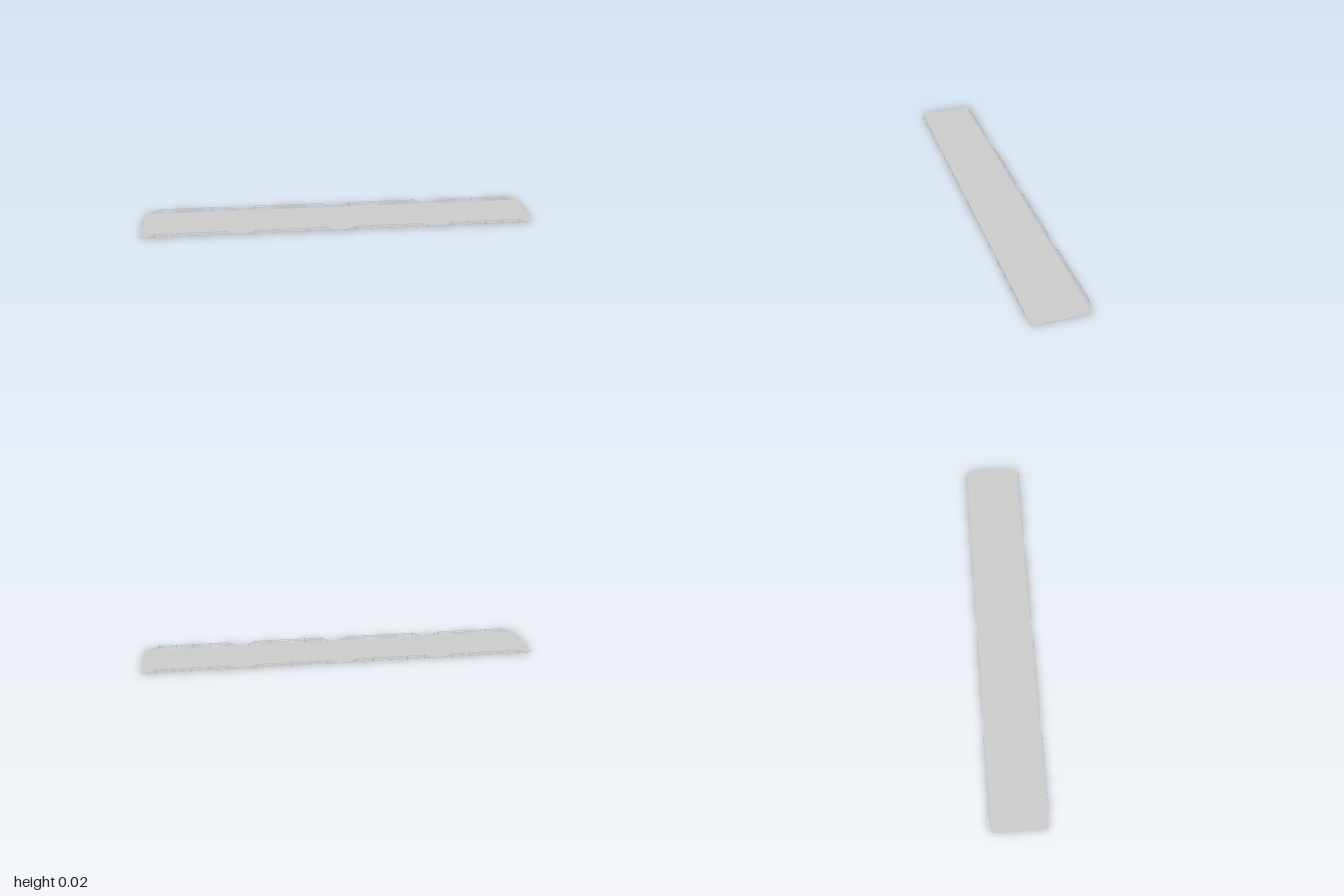
import * as THREE from 'three';

const mat = new THREE.MeshStandardMaterial({ color: 0xcccccc, flatShading: true });

// Horizontal bar whose two ends ramp down to the ground
function railGeometry(top, height, depth) {
  const end = 0.222, flat = 0.18;
  const s = new THREE.Shape();
  s.moveTo(-end, 0);
  s.lineTo(-flat, top - height);
  s.lineTo(flat, top - height);
  s.lineTo(end, 0);
  s.lineTo(end, height * 0.6);
  s.lineTo(flat, top);
  s.lineTo(-flat, top);
  s.lineTo(-end, height * 0.6);
  s.closePath();
  const g = new THREE.ExtrudeGeometry(s, { depth, bevelEnabled: false });
  g.translate(0, 0, -depth / 2);
  return g;
}

const upperRail = railGeometry(0.022, 0.003, 0.0025);
const lowerRail = railGeometry(0.0135, 0.003, 0.0025);
const postGeometry = new THREE.BoxGeometry(0.004, 0.024, 0.0025);

function add(parent, geometry, name, x = 0, y = 0, z = 0) {
  const m = new THREE.Mesh(geometry, mat);
  m.name = name;
  m.position.set(x, y, z);
  parent.add(m);
  return m;
}

// One guard rail section: two rails on five posts, outward side at +z
function guardRail() {
  const g = new THREE.Group();
  g.name = 'guardRail';
  add(g, upperRail, 'upperRail');
  add(g, lowerRail, 'lowerRail');
  for (let i = -2; i <= 2; i++) {
    add(g, postGeometry, 'post', i * 0.088, 0.012, 0.001);
  }
  return g;
}

export function createModel() {
  const model = new THREE.Group();
  model.name = 'roadSection';

  // Thin road slab
  add(model, new THREE.BoxGeometry(2, 0.0016, 0.278), 'road', 0, 0.0008, 0);

  // Four guard rail sections along each edge
  for (const side of [1, -1]) {
    for (const x of [-0.75, -0.25, 0.25, 0.75]) {
      const rail = guardRail();
      rail.position.set(x, 0, side * 0.147);
      if (side < 0) rail.rotation.y = Math.PI;
      model.add(rail);
    }
  }
  return model;
}
